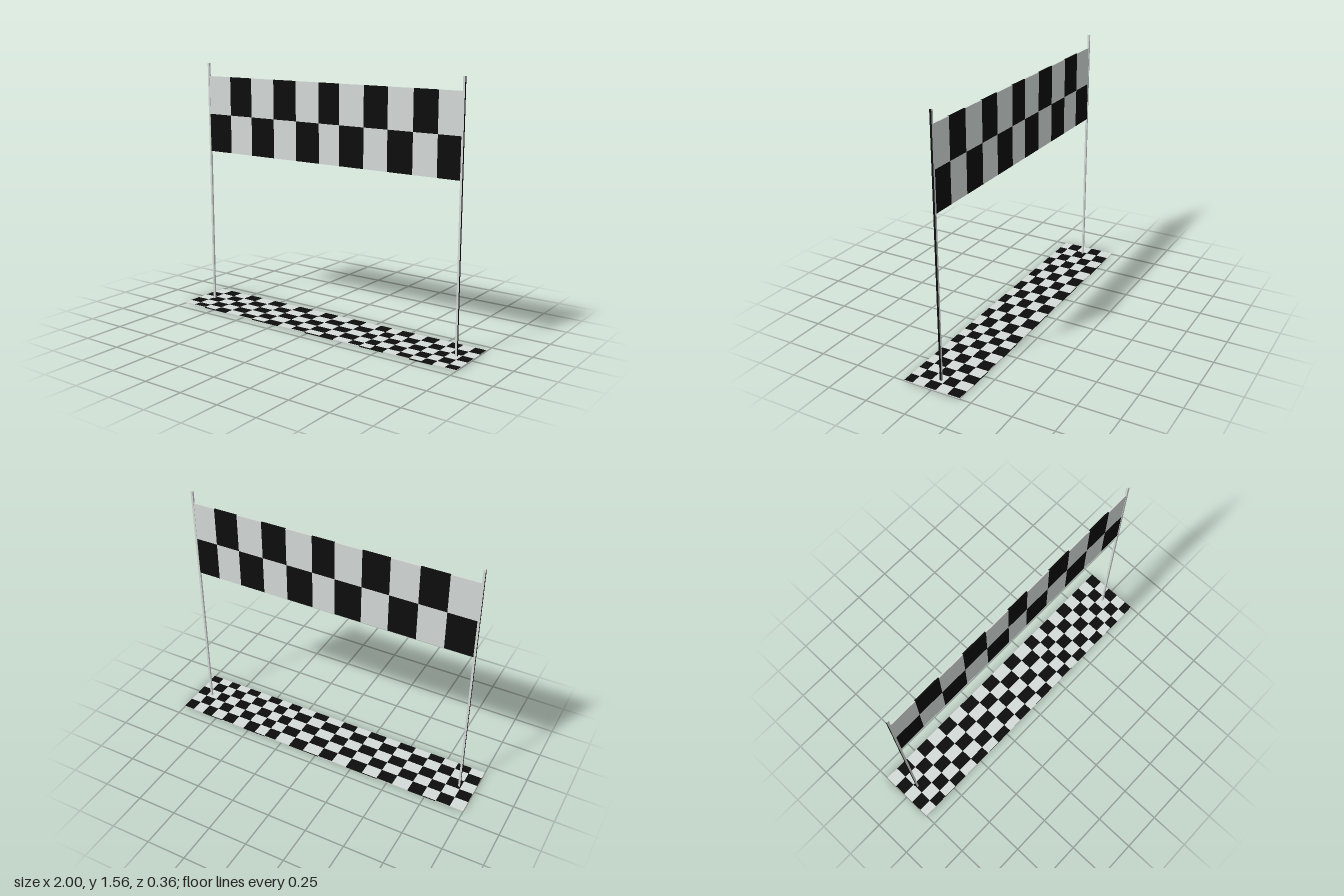
import * as THREE from 'three';
import { mergeGeometries } from 'three/addons/utils/BufferGeometryUtils.js';

const light = new THREE.MeshStandardMaterial({ color: 0xd5dbd8 });
const dark = new THREE.MeshStandardMaterial({ color: 0x0d0d0d });

// Box given by its minimum and maximum corners
function span(x0, x1, y0, y1, z0, z1) {
  return new THREE.BoxGeometry(x1 - x0, y1 - y0, z1 - z0)
    .translate((x0 + x1) / 2, (y0 + y1) / 2, (z0 + z1) / 2);
}

// Alternating light and dark cells over two lists of boundaries, one mesh per colour
function checker(name, columns, rows, cell) {
  const sets = [[], []];
  for (let r = 0; r < rows.length - 1; r++) {
    for (let c = 0; c < columns.length - 1; c++) {
      sets[(r + c) % 2].push(cell(columns[c], columns[c + 1], rows[r], rows[r + 1]));
    }
  }
  const group = new THREE.Group();
  group.name = name;
  [light, dark].forEach((material, i) => {
    const mesh = new THREE.Mesh(mergeGeometries(sets[i]), material);
    mesh.name = name + (i ? 'DarkSquares' : 'LightSquares');
    group.add(mesh);
  });
  return group;
}

export function createModel() {
  const model = new THREE.Group();
  model.name = 'finishLine';

  // Hanging banner: two rows of squares
  const bannerColumns = [-0.9, -0.725, -0.555, -0.38, -0.21, -0.04, 0.105, 0.275, 0.435, 0.6, 0.755, 0.9];
  model.add(checker('banner', bannerColumns, [1.48, 1.24, 1.0],
    (x0, x1, yTop, yBottom) => span(x0, x1, yBottom, yTop, -0.004, 0.004)));

  // Ground strip: fine squares on top of a slab with stripes twice as wide
  const stripColumns = [-1, -0.915, -0.825, -0.735, -0.64, -0.535, -0.43, -0.33, -0.22, -0.12, -0.02, 0.09,
    0.19, 0.295, 0.375, 0.45, 0.535, 0.62, 0.705, 0.785, 0.855, 0.93, 1];
  const stripRows = [-0.18, -0.1, -0.025, 0.05, 0.125, 0.18];
  model.add(checker('groundSlab', stripColumns.filter((x, i) => i % 2 === 0), [-0.18, 0.18],
    (x0, x1, z0, z1) => span(x0, x1, 0, 0.006, z0, z1)));
  model.add(checker('groundTop', stripColumns, stripRows,
    (x0, x1, z0, z1) => new THREE.PlaneGeometry(x1 - x0, z1 - z0).rotateX(-Math.PI / 2)
      .translate((x0 + x1) / 2, 0.007, (z0 + z1) / 2)));

  // Square poles, dark on the outward side
  for (const side of [-1, 1]) {
    const height = side < 0 ? 1.563 : 1.558;
    const faces = [0, 1, 2, 3, 4, 5].map(i => (i === (side > 0 ? 0 : 1) ? dark : light));
    const pole = new THREE.Mesh(new THREE.BoxGeometry(0.013, height, 0.012), faces);
    pole.name = side > 0 ? 'leftPole' : 'rightPole';
    pole.position.set(side * 0.904, height / 2, 0);
    model.add(pole);
  }
  return model;
}
